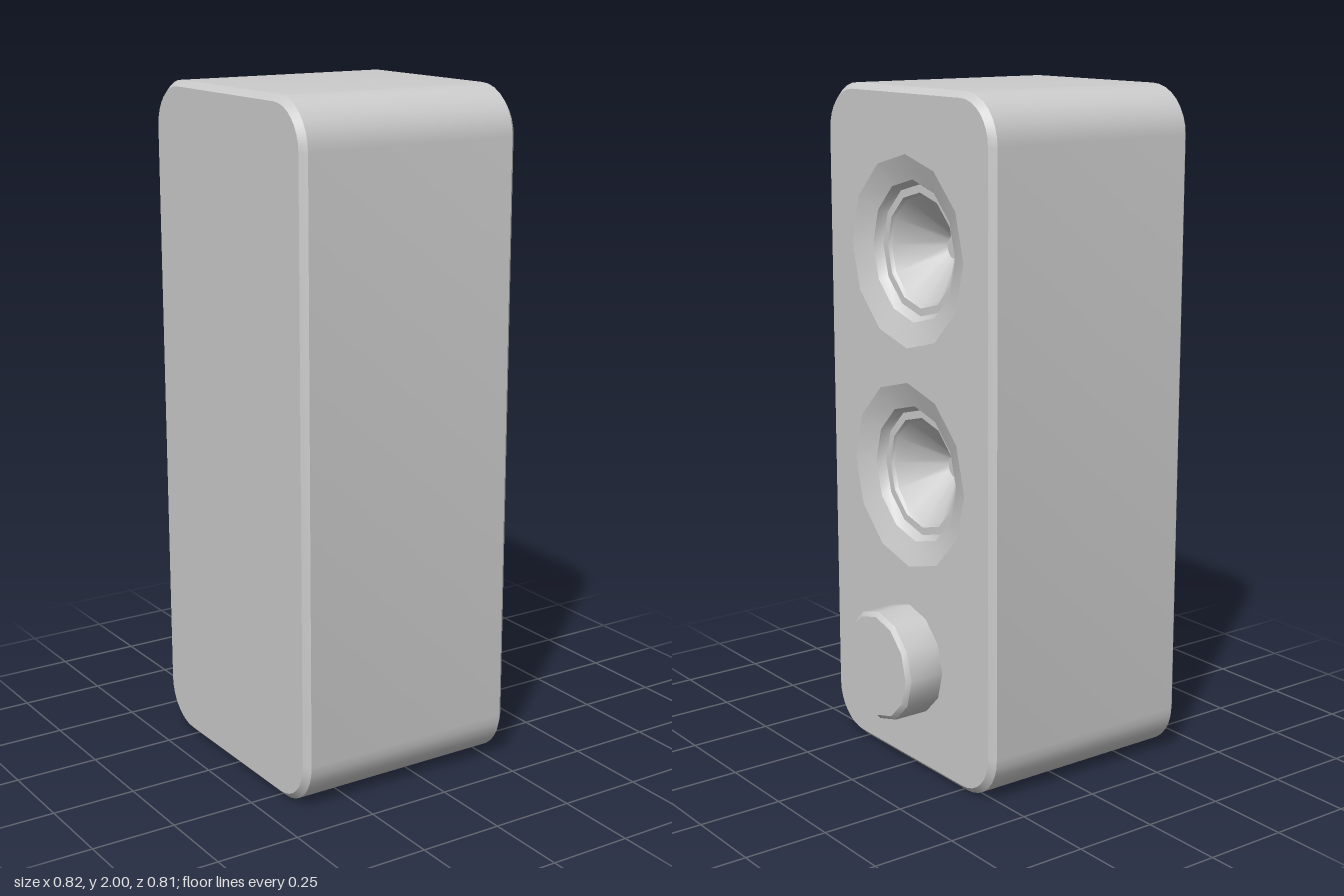
import * as THREE from 'three';
import { toCreasedNormals } from 'three/addons/utils/BufferGeometryUtils.js';

const HALF_W = 0.403, HEIGHT = 2, BACK = -0.41, FACE = 0.29, BEVEL = 0.018, CORNER = 0.14;
const SIDES = 12;
const SPEAKERS = [['upperSpeaker', 1.54], ['lowerSpeaker', 0.89]];
const SPEAKER_R = 0.275;

const material = new THREE.MeshStandardMaterial({ color: 0xcccccc });

function part(name, geometry, crease = 0.6) {
  const mesh = new THREE.Mesh(toCreasedNormals(geometry, crease), material);
  mesh.name = name;
  return mesh;
}

// Rounded rectangle, counter-clockwise, pulled in by the given inset
function outline(inset) {
  const w = HALF_W - inset, y0 = inset, y1 = HEIGHT - inset, r = CORNER - inset;
  const corners = [[w - r, y0 + r, -0.5], [w - r, y1 - r, 0], [-w + r, y1 - r, 0.5], [-w + r, y0 + r, 1]];
  const points = [];
  for (const [cx, cy, start] of corners) {
    for (let i = 0; i <= 8; i++) {
      const a = (start + i / 16) * Math.PI;
      points.push(new THREE.Vector2(cx + r * Math.cos(a), cy + r * Math.sin(a)));
    }
  }
  return points;
}

// Cabinet walls: outlines joined from back to face, with chamfered rims
function wallGeometry() {
  const sections = [[BACK, BEVEL], [BACK + BEVEL, 0], [FACE - BEVEL, 0], [FACE, BEVEL]];
  const position = [], index = [];
  let n = 0;
  sections.forEach(([z, inset], s) => {
    const loop = outline(inset);
    n = loop.length;
    loop.forEach((p, i) => {
      position.push(p.x, p.y, z);
      if (s === 0) return;
      const a = (s - 1) * n + i, b = (s - 1) * n + (i + 1) % n;
      index.push(a, b, b + n, a, b + n, a + n);
    });
  });
  const geometry = new THREE.BufferGeometry();
  geometry.setAttribute('position', new THREE.Float32BufferAttribute(position, 3));
  geometry.setIndex(index);
  return geometry;
}

// Turned part whose axis points out of the face; profile is [radius, depth]
function turned(profile) {
  const points = profile.map(([r, z]) => new THREE.Vector2(r, z));
  return new THREE.LatheGeometry(points, SIDES).rotateX(Math.PI / 2);
}

export function createModel() {
  const model = new THREE.Group();
  model.name = 'speakerBox';

  // Built facing +z, then turned so the speaker face looks along +x
  const box = new THREE.Group();
  box.name = 'cabinet';
  box.rotation.y = Math.PI / 2;
  model.add(box);

  box.add(part('cabinetWalls', wallGeometry()));

  const back = new THREE.ShapeGeometry(new THREE.Shape(outline(BEVEL)));
  const backPanel = part('backPanel', back.rotateY(Math.PI));
  backPanel.position.z = BACK;
  box.add(backPanel);

  // Face panel with an opening for each speaker
  const face = new THREE.Shape(outline(BEVEL));
  for (const [, y] of SPEAKERS) {
    const hole = [];
    for (let i = 0; i < SIDES; i++) {
      const a = -i * 2 * Math.PI / SIDES;
      hole.push(new THREE.Vector2(SPEAKER_R * Math.cos(a), y + SPEAKER_R * Math.sin(a)));
    }
    face.holes.push(new THREE.Path(hole));
  }
  const facePanel = part('facePanel', new THREE.ShapeGeometry(face));
  facePanel.position.z = FACE;
  box.add(facePanel);

  // Speakers: shallow dish, stepped rim, deep cone with a small flat centre
  for (const [name, y] of SPEAKERS) {
    const speaker = new THREE.Group();
    speaker.name = name;
    speaker.position.set(0, y, FACE);
    speaker.add(
      part('dish', turned([[SPEAKER_R, 0], [0.203, -0.025]])),
      part('rim', turned([[0.203, -0.025], [0.188, -0.05], [0.165, -0.05], [0.158, -0.06]])),
      part('cone', turned([[0.158, -0.06], [0.035, -0.17], [0, -0.17]])),
    );
    box.add(speaker);
  }

  // Knob below the speakers
  const knob = part('knob', turned([[0.165, -0.01], [0.165, 0.108], [0.152, 0.12], [0, 0.12]]));
  knob.position.set(0, 0.333, FACE);
  box.add(knob);

  return model;
}
